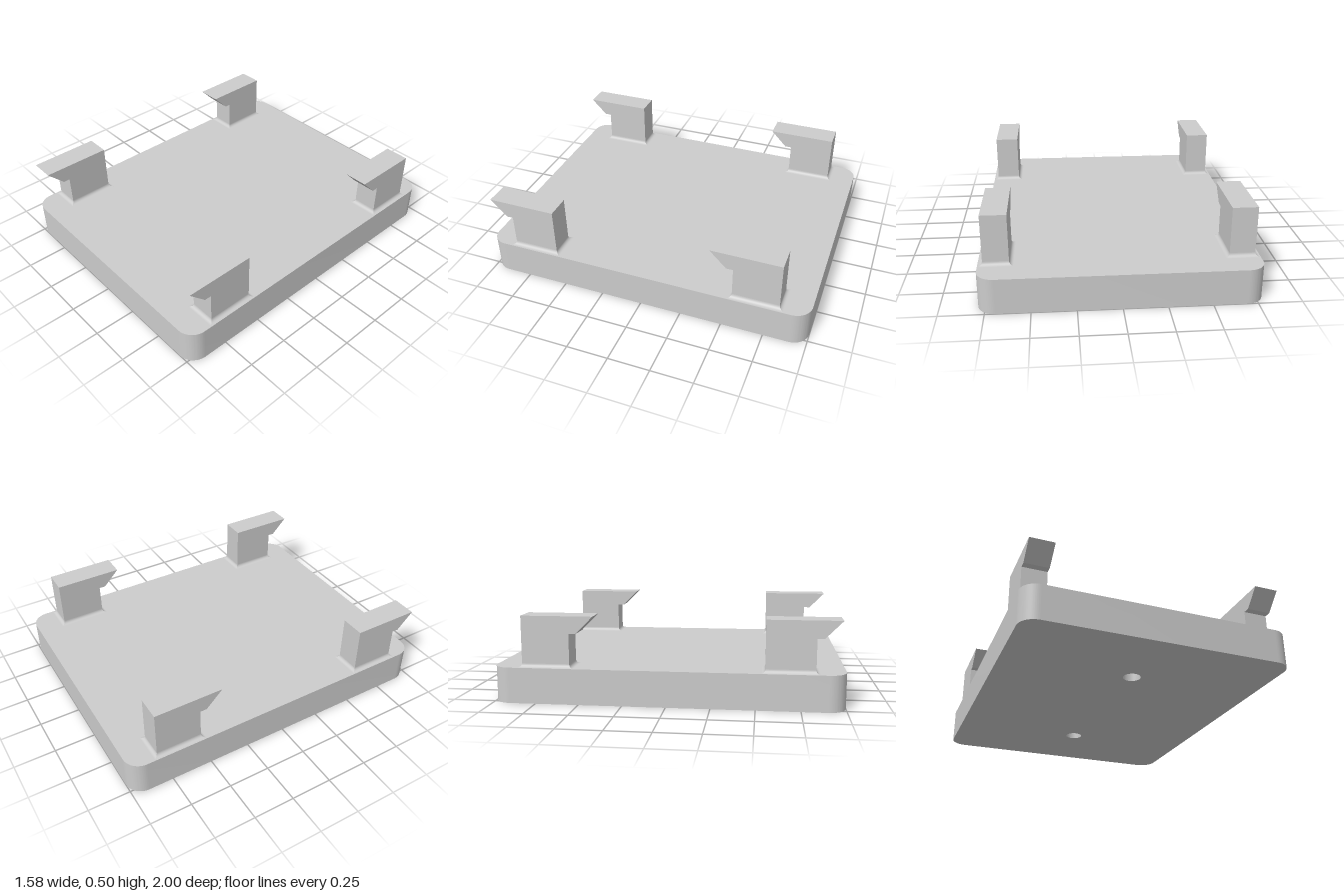
import * as THREE from 'three';
import { toCreasedNormals } from 'three/addons/utils/BufferGeometryUtils.js';

const grey = new THREE.MeshStandardMaterial({ color: 0xcccccc });
grey.name = 'lightGrey';

const W = 0.79, L = 1, H = 0.207, R = 0.1; // plate half width, half length, height, corner radius
const HOLE_R = 0.052, HOLE_Z = 0.53, HOLE_DEPTH = 0.15;
const FILLET = 0.022;

function add(parent, geometry, name) {
  const mesh = new THREE.Mesh(geometry, grey);
  mesh.name = name;
  parent.add(mesh);
  return mesh;
}

function plateOutline() {
  const s = new THREE.Shape();
  s.absarc(W - R, L - R, R, 0, Math.PI / 2);
  s.absarc(R - W, L - R, R, Math.PI / 2, Math.PI);
  s.absarc(R - W, R - L, R, Math.PI, Math.PI * 1.5);
  s.absarc(W - R, R - L, R, Math.PI * 1.5, Math.PI * 2);
  s.closePath();
  return s;
}

// Rounded plate with two blind holes in the underside
function createPlate() {
  const plate = new THREE.Group();
  plate.name = 'basePlate';

  const top = new THREE.ShapeGeometry(plateOutline(), 16).rotateX(-Math.PI / 2);
  add(plate, top.translate(0, H, 0), 'plateTop');

  // Only the side faces of the extrusion, its caps are made separately
  const solid = new THREE.ExtrudeGeometry(plateOutline(), { depth: H, bevelEnabled: false, curveSegments: 16 });
  const sides = solid.groups[1];
  const wall = new THREE.BufferGeometry();
  const points = solid.attributes.position.array.slice(sides.start * 3, (sides.start + sides.count) * 3);
  wall.setAttribute('position', new THREE.BufferAttribute(points, 3));
  add(plate, toCreasedNormals(wall.rotateX(-Math.PI / 2), 0.6), 'plateWall');

  const holed = plateOutline();
  for (const z of [-HOLE_Z, HOLE_Z]) {
    holed.holes.push(new THREE.Path().absarc(0, z, HOLE_R, 0, Math.PI * 2, true));

    // Inward facing hole lining and its end
    const lining = new THREE.CylinderGeometry(HOLE_R, HOLE_R, HOLE_DEPTH, 32, 1, true);
    lining.scale(-1, 1, 1); // mirrored normals are restored below
    const index = lining.index.array;
    const normal = lining.attributes.normal;
    const pos = lining.attributes.position;
    for (let i = 0; i < index.length; i += 3) {
      // Mirroring already turns the faces in when the order is kept
      const a = new THREE.Vector3().fromBufferAttribute(pos, index[i]);
      const b = new THREE.Vector3().fromBufferAttribute(pos, index[i + 1]);
      const c = new THREE.Vector3().fromBufferAttribute(pos, index[i + 2]);
      const face = b.clone().sub(a).cross(c.clone().sub(a));
      if (face.dot(new THREE.Vector3(a.x + b.x + c.x, 0, a.z + b.z + c.z)) > 0) {
        [index[i + 1], index[i + 2]] = [index[i + 2], index[i + 1]];
      }
    }
    for (let i = 0; i < pos.count; i++) {
      normal.setXYZ(i, -pos.getX(i) / HOLE_R, 0, -pos.getZ(i) / HOLE_R);
    }
    add(plate, lining.translate(0, HOLE_DEPTH / 2, z), 'holeLining');
    const end = new THREE.CircleGeometry(HOLE_R, 32).rotateX(Math.PI / 2);
    add(plate, end.translate(0, HOLE_DEPTH, z), 'holeEnd');
  }
  add(plate, new THREE.ShapeGeometry(holed, 16).rotateX(Math.PI / 2), 'plateUnderside');
  return plate;
}

// One mitred side of the concave fillet around a clip foot
function filletSide(halfAcross, halfOut) {
  const g = new THREE.PlaneGeometry(2, 1, 1, 8);
  const p = g.attributes.position;
  for (let i = 0; i < p.count; i++) {
    const a = (p.getY(i) + 0.5) * Math.PI / 2;
    const out = FILLET * (1 - Math.sin(a));
    p.setXYZ(i, p.getX(i) * (halfAcross + out), FILLET * (1 - Math.cos(a)), halfOut + out);
  }
  g.computeVertexNormals();
  return g;
}

// Upright clip with a barb facing the front, centred on its foot
function createClip() {
  const clip = new THREE.Group();
  clip.name = 'clip';
  const halfX = 0.0735, halfZ = 0.138, top = 0.503 - H, under = 0.403 - H;
  const profile = new THREE.Shape([
    [-halfZ, 0], [halfZ, 0], [halfZ, under], [halfZ + 0.04, under],
    [halfZ + 0.139, top], [-halfZ, top],
  ].map(([z, y]) => new THREE.Vector2(z, y)));
  const hook = new THREE.ExtrudeGeometry(profile, { depth: halfX * 2, bevelEnabled: false });
  add(clip, hook.translate(0, 0, -halfX).rotateY(-Math.PI / 2), 'clipHook');

  for (let k = 0; k < 4; k++) {
    const g = k % 2 ? filletSide(halfZ, halfX) : filletSide(halfX, halfZ);
    add(clip, g.rotateY(k * Math.PI / 2), 'clipFillet');
  }
  return clip;
}

export function createModel() {
  const model = new THREE.Group();
  model.name = 'clipPlate';
  model.add(createPlate());
  for (const x of [-0.6885, 0.6885]) {
    for (const z of [-0.69, 0.69]) {
      const clip = createClip();
      clip.position.set(x, H, z);
      model.add(clip);
    }
  }
  return model;
}
